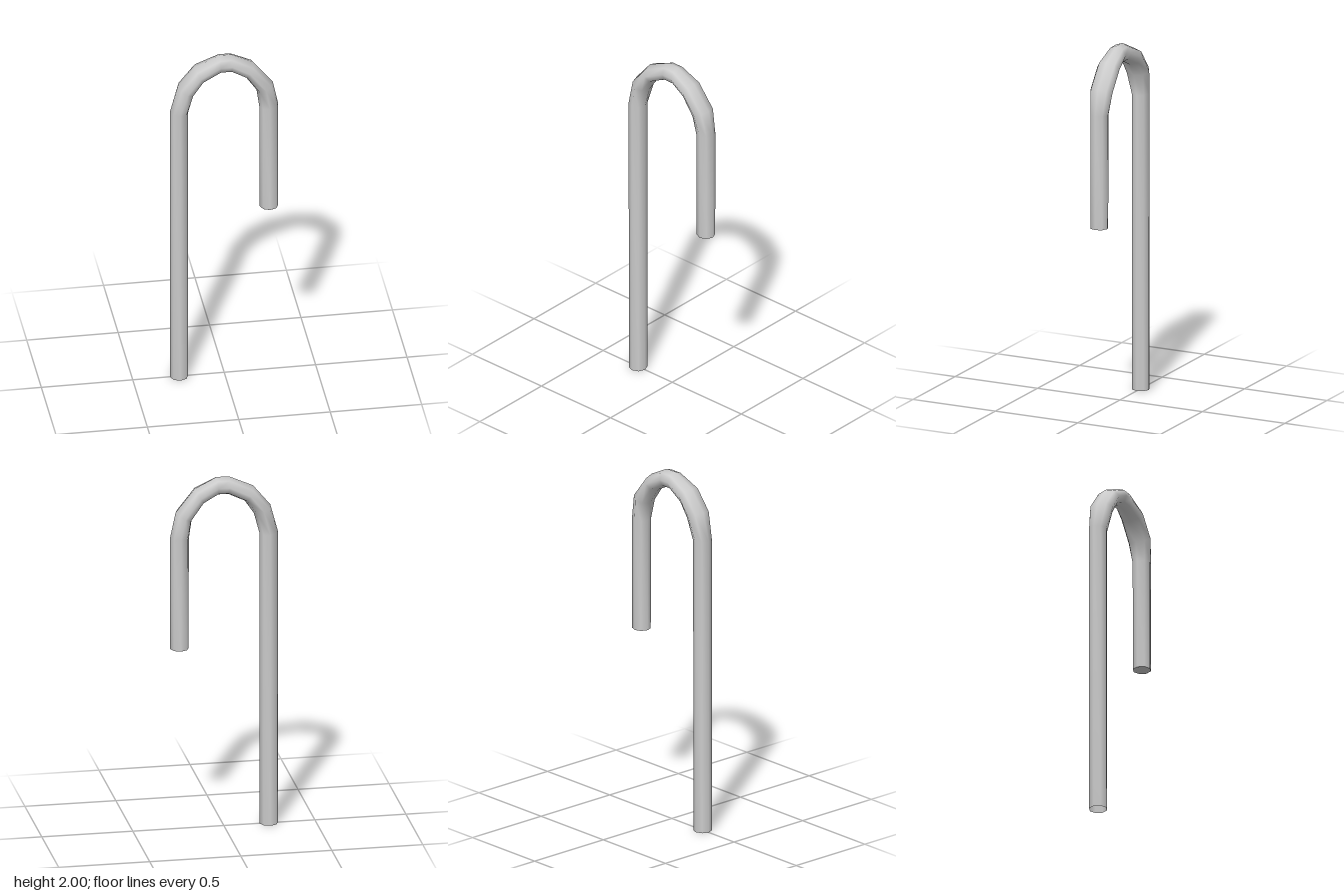
import * as THREE from 'three';

const SIDES = 8;

// Cross-sections along the cane: outer x, y, inner x, y, half depth in z
const RINGS = [
  [-0.297, 0, -0.197, 0, 0.05],
  [-0.297, 1.67, -0.197, 1.66, 0.051],
  [-0.255, 1.825, -0.165, 1.78, 0.07],
  [-0.16, 1.94, -0.115, 1.855, 0.07],
  [-0.027, 2, -0.023, 1.9, 0.054],
  [0.04, 2, 0.035, 1.9, 0.054],
  [0.16, 1.94, 0.112, 1.86, 0.067],
  [0.265, 1.81, 0.177, 1.765, 0.067],
  [0.295, 1.67, 0.192, 1.66, 0.051],
  [0.295, 1.03, 0.194, 1.03, 0.05],
];

// Octagonal section spanning from the outer to the inner edge of the bend
function ringPoint([ox, oy, ix, iy, depth], side) {
  const a = (side / SIDES) * Math.PI * 2;
  const t = (1 - Math.cos(a)) / 2;
  return [ox + (ix - ox) * t, oy + (iy - oy) * t, Math.sin(a) * depth];
}

function skinGeometry() {
  const positions = [];
  const index = [];
  for (const ring of RINGS) {
    for (let s = 0; s < SIDES; s++) positions.push(...ringPoint(ring, s));
  }
  for (let r = 0; r < RINGS.length - 1; r++) {
    for (let s = 0; s < SIDES; s++) {
      const n = (s + 1) % SIDES;
      const a = r * SIDES + s, b = r * SIDES + n;
      const c = a + SIDES, d = b + SIDES;
      index.push(a, b, c, b, d, c);
    }
  }
  const geometry = new THREE.BufferGeometry();
  geometry.setAttribute('position', new THREE.Float32BufferAttribute(positions, 3));
  geometry.setIndex(index);
  geometry.computeVertexNormals();
  return geometry;
}

export function createModel() {
  const group = new THREE.Group();
  group.name = 'hookedCane';
  const material = new THREE.MeshStandardMaterial({ color: 0xcccccc, side: THREE.DoubleSide });

  // Long shaft, bend and short leg as one smooth tube, open at the foot
  const tube = new THREE.Mesh(skinGeometry(), material);
  tube.name = 'caneTube';
  group.add(tube);

  // Flat cap closing the short leg
  const cap = new THREE.Mesh(new THREE.CircleGeometry(0.0503, SIDES), material);
  cap.name = 'shortLegCap';
  cap.rotation.x = Math.PI / 2;
  cap.position.set(0.2445, 1.03, 0);
  group.add(cap);

  return group;
}
